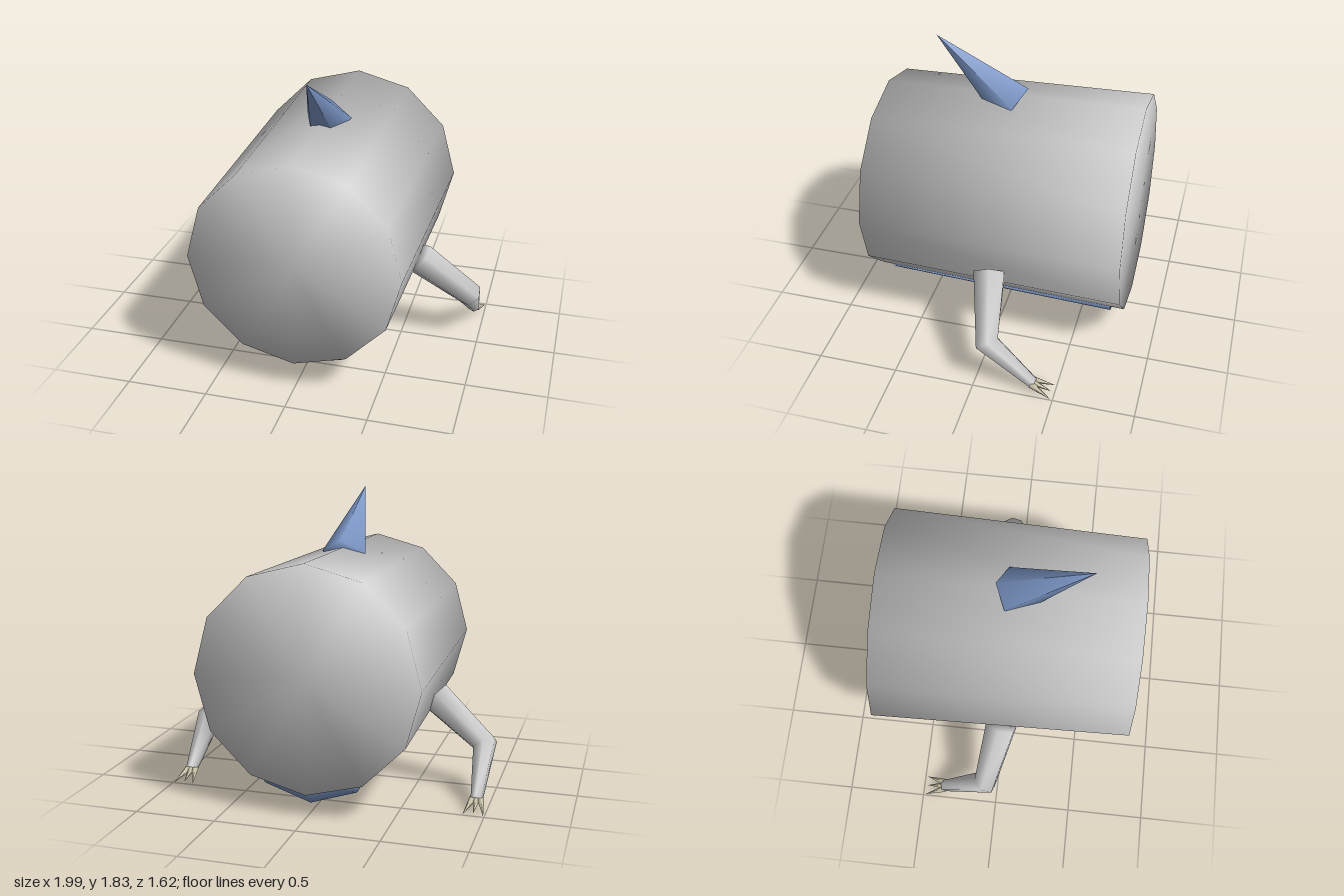
import * as THREE from 'three';

const V = (x, y, z) => new THREE.Vector3(x, y, z);
const grey = new THREE.MeshStandardMaterial({ color: 0xcccccc });
const blue = new THREE.MeshStandardMaterial({ color: 0x7d98c8 });
const bone = new THREE.MeshStandardMaterial({ color: 0xc8c3a8 });

// Regular ring of n points around direction d, starting towards ref
function ring(center, d, r, n, ref = V(1, 0, 0)) {
  const w = d.clone().normalize();
  const u = ref.clone().addScaledVector(w, -ref.dot(w)).normalize();
  const v = w.clone().cross(u);
  return Array.from({ length: n }, (_, i) => {
    const a = (i / n) * Math.PI * 2;
    return center.clone().addScaledVector(u, r * Math.cos(a)).addScaledVector(v, r * Math.sin(a));
  });
}

// Smooth capped skin through rings with equal point counts
function loft(rings) {
  const n = rings[0].length, m = rings.length, index = [];
  const mid = (r) => r.reduce((s, p) => s.add(p), V(0, 0, 0)).divideScalar(n);
  const points = [...rings.flat(), mid(rings[0]), mid(rings[m - 1])];
  for (let i = 0; i < n; i++) {
    const k = (i + 1) % n, e = (m - 1) * n;
    for (let j = 0; j < m - 1; j++) {
      const a = j * n, b = a + n;
      index.push(a + i, a + k, b + k, a + i, b + k, b + i);
    }
    index.push(m * n, k, i, m * n + 1, e + i, e + k);
  }
  const geo = new THREE.BufferGeometry().setFromPoints(points);
  geo.setIndex(index);
  geo.computeVertexNormals();
  return geo;
}

function add(parent, name, geo, material) {
  const mesh = new THREE.Mesh(geo, material);
  mesh.name = name;
  parent.add(mesh);
}

// Pointed cone from base to tip
function spike(base, tip, r, n, ref) {
  const d = tip.clone().sub(base);
  return loft([ring(base, d, r, n, ref), ring(tip, d, 0.0005, n, ref)]);
}

// Twelve-sided barrel, slightly wider at the back, shaded softly over its rims
function bodyGeometry() {
  const y = 0.835, axis = V(0, 0, 1);
  const geo = loft([ring(V(0, y, -0.81), axis, 0.685, 12), ring(V(0, y, 0.81), axis, 0.645, 12)]);
  const p = geo.attributes.position;
  for (let i = 0; i < 24; i++) {
    const n = V(p.getX(i), p.getY(i) - y, 0).normalize();
    n.z = Math.sign(p.getZ(i));
    n.normalize();
    geo.attributes.normal.setXYZ(i, n.x, n.y, n.z);
  }
  return geo;
}

// Shallow keel cross-section at one z
const keelSection = (z, xTop, yTop, xSide, ySide, yLow) => [
  V(-xTop, yTop, z), V(-xSide, ySide, z), V(0, yLow, z), V(xSide, ySide, z), V(xTop, yTop, z),
];

// Bent leg with a three-clawed foot
function makeLeg(side) {
  const leg = new THREE.Group();
  leg.name = side > 0 ? 'leftLeg' : 'rightLeg';
  const S = (x, y, z) => V(side * x, y, z);
  const hip = S(0.6, 0.575, 0), knee = S(0.93, 0.315, -0.075), wrist = S(0.932, 0.06, -0.36);
  const d1 = knee.clone().sub(hip).normalize();
  const d2 = wrist.clone().sub(knee).normalize();
  const out = d1.clone().sub(d2);
  add(leg, 'limb', loft([
    ring(hip, d1, 0.108, 6, out),
    ring(knee, d1.clone().add(d2), 0.082, 6, out),
    ring(wrist, d2, 0.038, 6, out),
  ]), grey);
  for (const i of [-1, 0, 1]) {
    const base = S(0.932 + i * 0.022, 0.062, -0.355);
    const tip = S(0.932 + i * 0.061, i ? 0.008 : 0.015, i ? -0.485 : -0.475);
    add(leg, 'claw', spike(base, tip, 0.024, 5, V(0, 1, 0)), bone);
  }
  return leg;
}

export function createModel() {
  const model = new THREE.Group();
  model.name = 'hornedBarrelCreature';
  add(model, 'body', bodyGeometry(), grey);
  // Five-sided horn leaning forward
  add(model, 'horn', spike(V(0, 1.44, 0.005), V(0, 1.84, 0.48), 0.147, 5, V(0, 0.77, -0.64)), blue);
  // Belly plate, deeper towards the back
  add(model, 'bellyPlate', loft([
    keelSection(-0.715, 0.335, 0.245, 0.285, 0.165, 0.07),
    keelSection(0.74, 0.325, 0.265, 0.28, 0.22, 0.15),
  ]), blue);
  for (const side of [1, -1]) model.add(makeLeg(side));
  return model;
}
